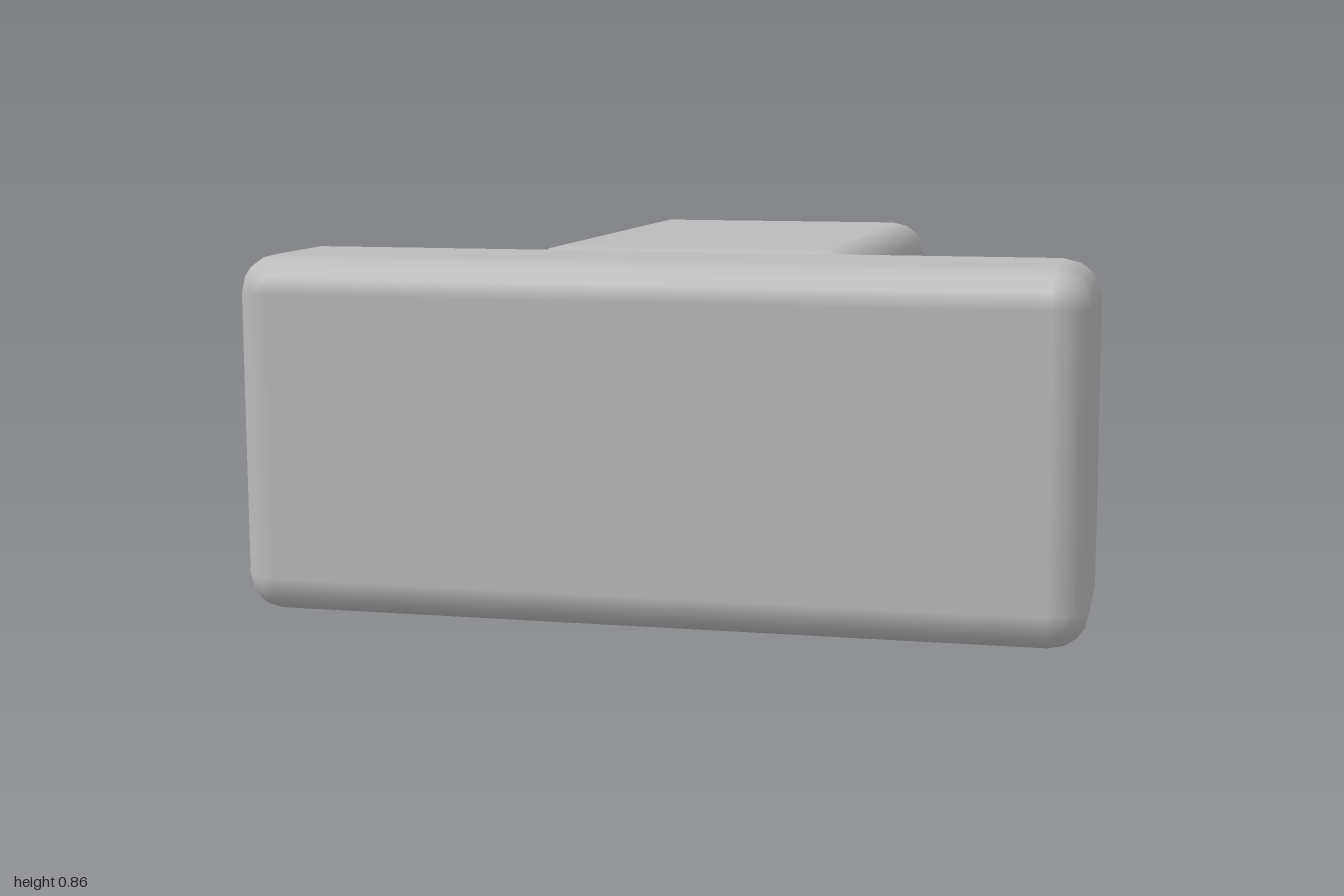
import * as THREE from 'three';
import { RoundedBoxGeometry } from 'three/addons/geometries/RoundedBoxGeometry.js';

export function createModel() {
  const group = new THREE.Group();
  group.name = 'teeBlock';

  const grey = new THREE.MeshStandardMaterial({ color: 0xbbbbbb });
  grey.name = 'plain grey';

  const height = 0.857;
  const bevel = 0.09;

  // Softly bevelled block standing on the ground, spanning zBack to zFront
  function addBlock(name, width, zBack, zFront) {
    const geometry = new RoundedBoxGeometry(width, height, zFront - zBack, 2, bevel);
    const mesh = new THREE.Mesh(geometry, grey);
    mesh.name = name;
    mesh.position.set(0, height / 2, (zBack + zFront) / 2);
    group.add(mesh);
  }

  // Wide bar across the front, and the stem running back from its middle
  addBlock('frontBar', 2, 0.428, 0.857);
  addBlock('rearStem', 0.852, -0.857, 0.428);

  return group;
}
